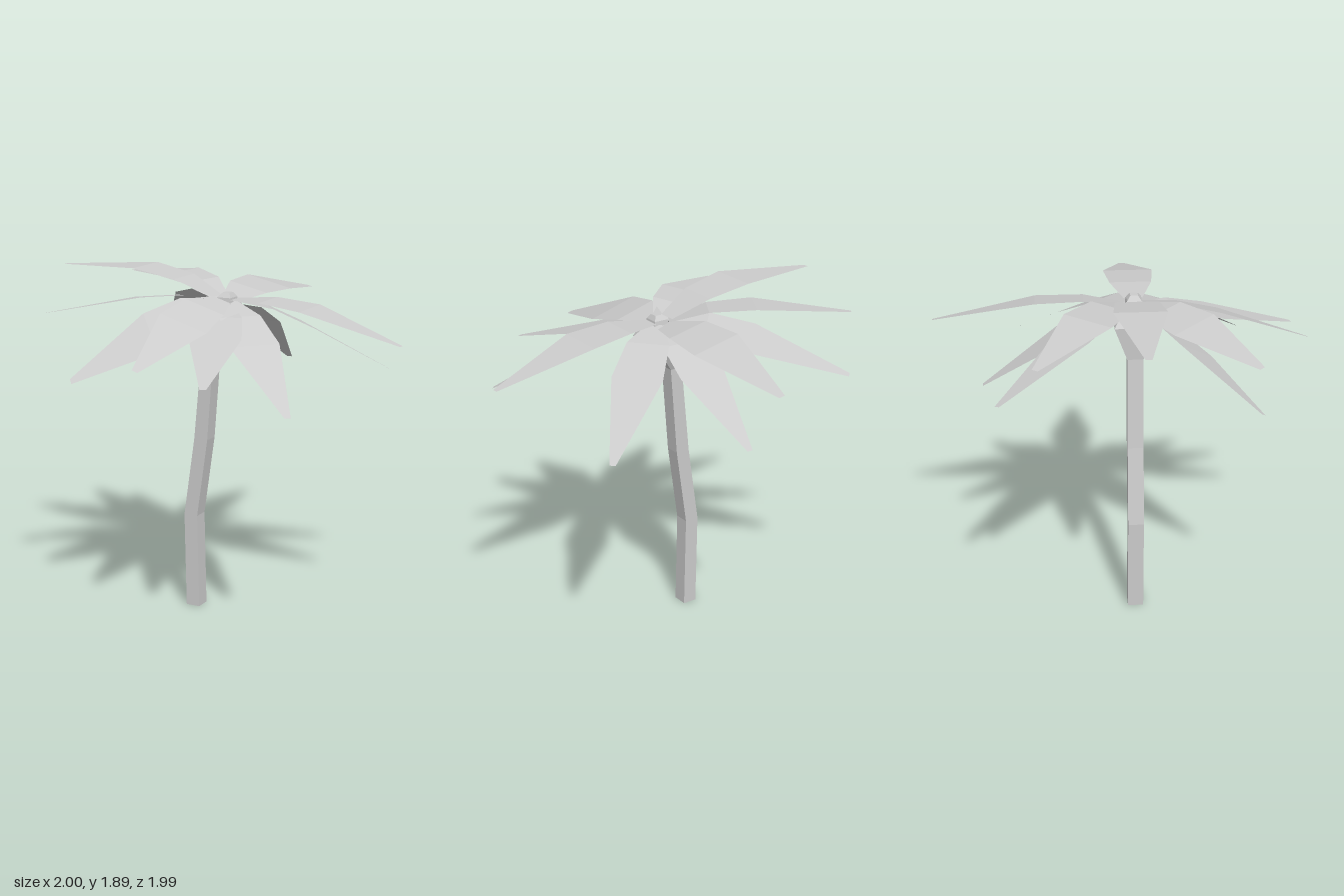
import * as THREE from 'three';

function meshFromTriangles(points, name, side = THREE.FrontSide) {
  const geo = new THREE.BufferGeometry();
  geo.setAttribute('position', new THREE.Float32BufferAttribute(points.flat(), 3));
  geo.computeVertexNormals();
  const mat = new THREE.MeshStandardMaterial({ color: 0xcccccc, flatShading: true, side });
  const mesh = new THREE.Mesh(geo, mat);
  mesh.name = name;
  return mesh;
}

// Square-section loft; each section is [y, centreX, centreZ, halfX, halfZ]
function squareLoft(sections, name) {
  const rings = sections.map(([y, x, z, hx, hz]) =>
    [[-1, -1], [-1, 1], [1, 1], [1, -1]].map(([sx, sz]) => [x + sx * hx, y, z + sz * hz]));
  const tris = [];
  for (let i = 0; i < rings.length - 1; i++) {
    for (let k = 0; k < 4; k++) {
      const n = (k + 1) % 4, lo = rings[i], hi = rings[i + 1];
      tris.push(lo[k], lo[n], hi[n], lo[k], hi[n], hi[k]);
    }
  }
  const b = rings[0], t = rings[rings.length - 1];
  tris.push(b[0], b[2], b[1], b[0], b[3], b[2], t[0], t[1], t[2], t[0], t[2], t[3]);
  return meshFromTriangles(tris, name);
}

// Thin leaf from the crown to its tip: heights at four stations, roll lifts one side
const CROWN = { x: 0, z: 0.055 };
const STATIONS = [0.05, 0.25, 0.49, 1];
const HALF_WIDTHS = [0.05, 0.113, 0.135, 0.016];
function frond([tipX, tipZ, heights, roll]) {
  const dx = tipX - CROWN.x, dz = tipZ - CROWN.z, len = Math.hypot(dx, dz);
  const sx = -dz / len, sz = dx / len;
  const rows = STATIONS.map((t, i) => [-1, 1].map((s) => {
    const w = s * HALF_WIDTHS[i];
    return [CROWN.x + dx * t + sx * w, heights[i] + roll * w / 0.135, CROWN.z + dz * t + sz * w];
  }));
  const tris = [];
  for (let i = 0; i < 3; i++) {
    const [a0, b0] = rows[i], [a1, b1] = rows[i + 1];
    tris.push(a0, b0, a1, b0, b1, a1);
  }
  return meshFromTriangles(tris, 'frond', THREE.DoubleSide);
}

export function createModel() {
  const group = new THREE.Group();
  group.name = 'palmTree';

  // Bent trunk flaring into the crown
  group.add(squareLoft([
    [0, -0.185, 0.058, 0.04, 0.043],
    [0.53, -0.195, 0.058, 0.04, 0.043],
    [0.97, -0.13, 0.058, 0.04, 0.043],
    [1.47, -0.085, 0.058, 0.036, 0.043],
    [1.65, -0.02, 0.058, 0.11, 0.11],
    [1.73, 0, 0.058, 0.06, 0.06],
  ], 'trunk'));

  // Small bud on top
  group.add(squareLoft([
    [1.7, 0.01, 0.058, 0.05, 0.05],
    [1.76, 0.01, 0.058, 0.04, 0.04],
    [1.785, 0.015, 0.058, 0.02, 0.02],
  ], 'bud'));

  // Fronds: tip x, tip z, heights from base to tip, roll
  const fronds = new THREE.Group();
  fronds.name = 'fronds';
  [
    [0.01, -1.0, [1.74, 1.775, 1.77, 1.67], -0.03],
    [0.70, -0.56, [1.74, 1.70, 1.59, 1.32], 0],
    [1.0, 0.05, [1.75, 1.76, 1.735, 1.58], 0],
    [0.67, 0.69, [1.74, 1.69, 1.58, 1.31], 0],
    [0.345, 0.95, [1.72, 1.69, 1.62, 1.47], 0],
    [-0.01, 0.985, [1.75, 1.74, 1.69, 1.53], 0.04],
    [-0.585, 0.675, [1.71, 1.68, 1.59, 1.36], 0.08],
    [-0.76, 0.63, [1.74, 1.775, 1.77, 1.70], -0.02],
    [-1.0, 0.06, [1.76, 1.85, 1.895, 1.87], 0],
    [-0.88, -0.47, [1.75, 1.815, 1.83, 1.775], 0.01],
    [-0.72, -0.66, [1.73, 1.74, 1.68, 1.51], -0.035],
    [0, -0.75, [1.72, 1.68, 1.57, 1.29], 0],
  ].forEach((spec) => fronds.add(frond(spec)));
  group.add(fronds);

  return group;
}
